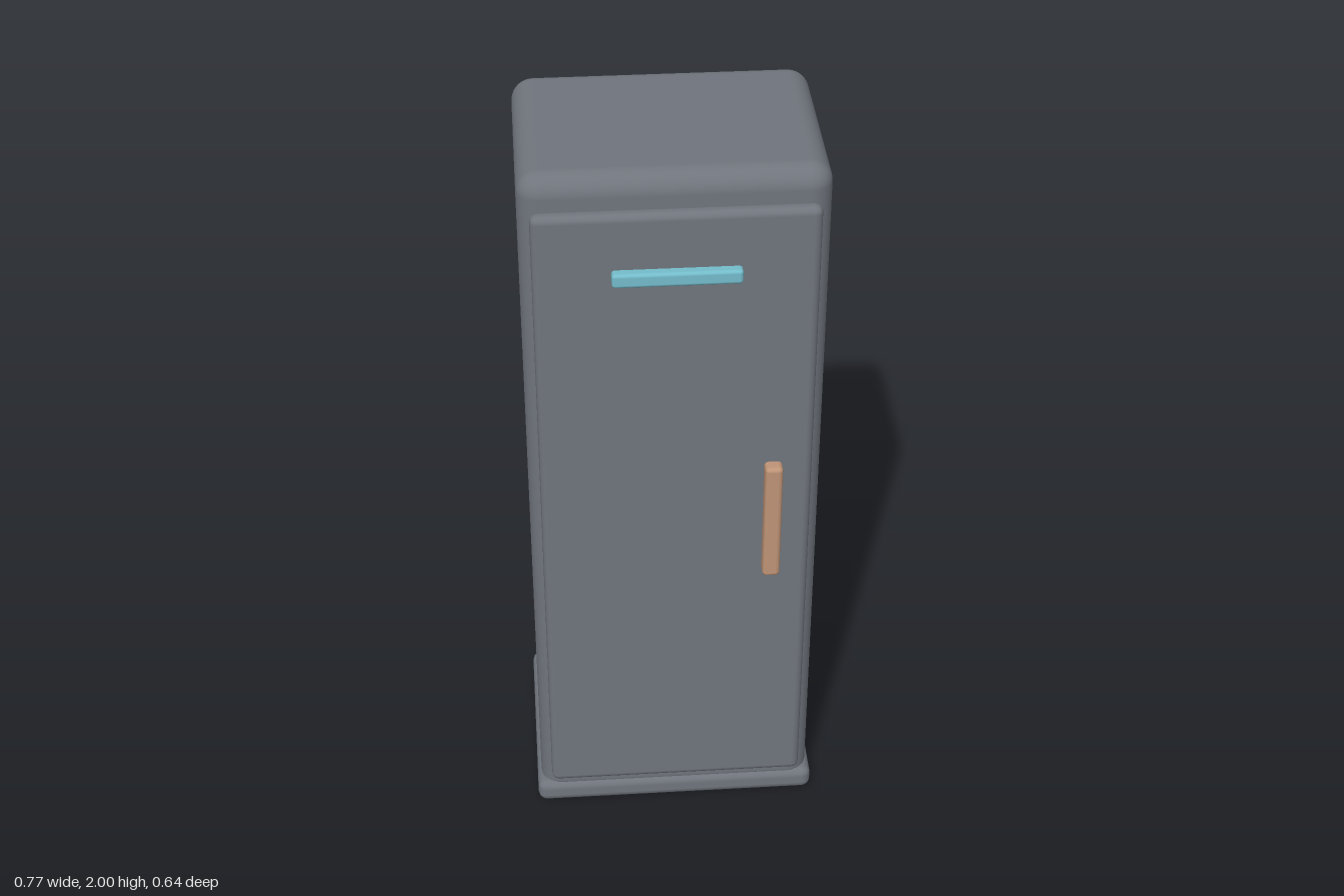
import * as THREE from 'three';
import { RoundedBoxGeometry } from 'three/addons/geometries/RoundedBoxGeometry.js';

const material = (name, color) => {
  const m = new THREE.MeshStandardMaterial({ color });
  m.name = name;
  return m;
};

export function createModel() {
  const group = new THREE.Group();
  group.name = 'cabinet';

  const grey = material('slate grey', 0x70757d);
  const teal = material('pale teal', 0x74bccb);
  const copper = material('copper tan', 0xbf9477);

  // Rounded block given by its extents on each axis
  const block = (name, mat, [x0, x1], [y0, y1], [z0, z1], radius, segments) => {
    const geometry = new RoundedBoxGeometry(x1 - x0, y1 - y0, z1 - z0, segments, radius);
    const mesh = new THREE.Mesh(geometry, mat);
    mesh.name = name;
    mesh.position.set((x0 + x1) / 2, (y0 + y1) / 2, (z0 + z1) / 2);
    group.add(mesh);
  };

  // Carcass and plinth
  block('body', grey, [-0.375, 0.375], [0.02, 2], [-0.31, 0.25], 0.055, 4);
  block('plinth', grey, [-0.386, 0.386], [0, 0.07], [-0.322, 0.26], 0.025, 2);

  // Door with its trim bar and handle
  block('door', grey, [-0.346, 0.346], [0.104, 1.918], [0.241, 0.285], 0.02, 2);
  block('trimBar', teal, [-0.157, 0.157], [1.733, 1.771], [0.275, 0.31], 0.009, 2);
  block('handle', copper, [0.222, 0.268], [0.838, 1.187], [0.272, 0.32], 0.012, 2);

  return group;
}
